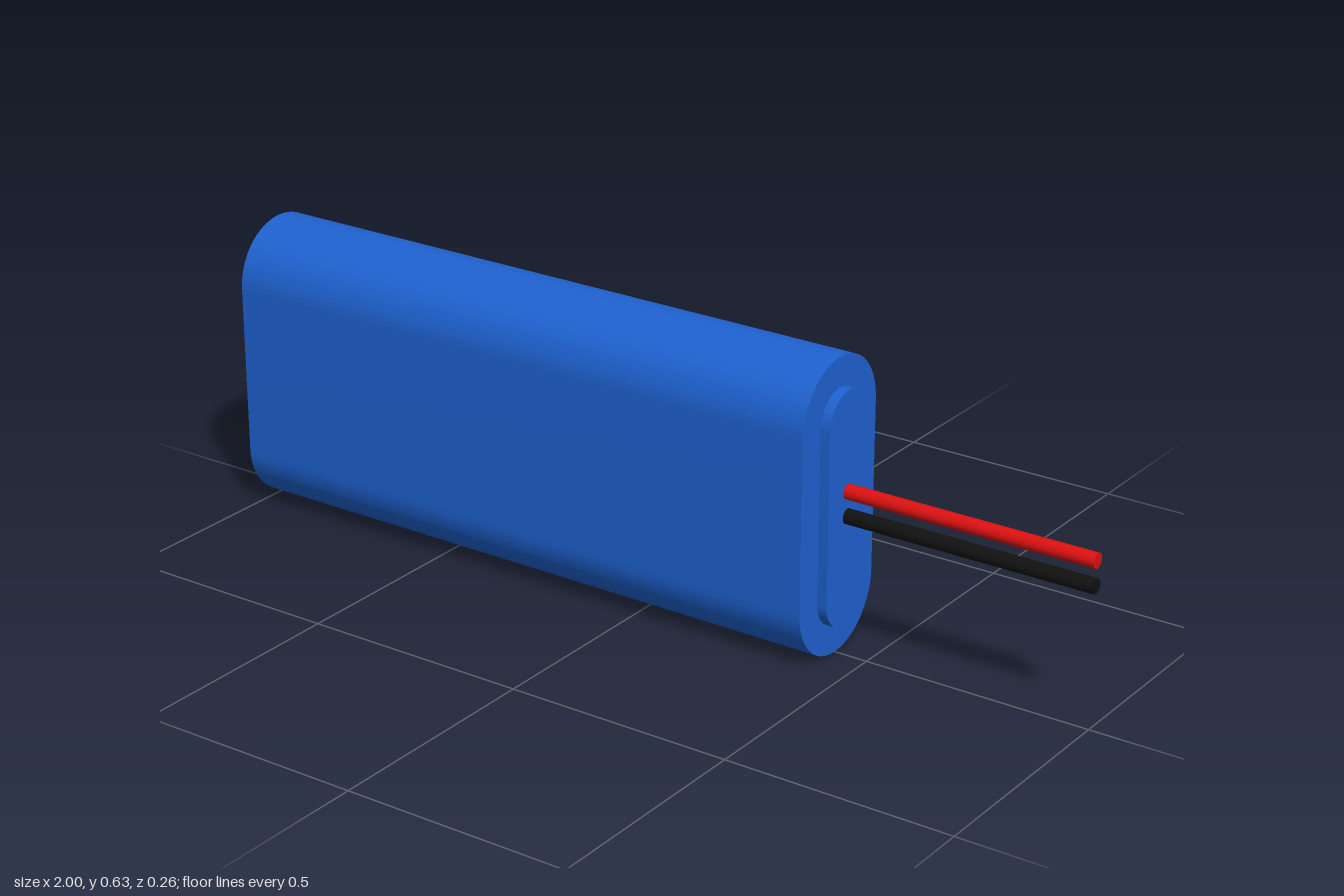
import * as THREE from 'three';
import { toCreasedNormals } from 'three/addons/utils/BufferGeometryUtils.js';

const blue = new THREE.MeshStandardMaterial({ color: 0x1e62d0 });
const red = new THREE.MeshStandardMaterial({ color: 0xdd1111 });
const black = new THREE.MeshStandardMaterial({ color: 0x111111 });

const MID_Y = 0.3175;

// Upright stadium section swept along x from x0 to x1
function stadiumBar(name, height, radius, x0, x1) {
  const h = height / 2 - radius;
  const shape = new THREE.Shape();
  shape.absarc(0, h, radius, 0, Math.PI);
  shape.absarc(0, -h, radius, Math.PI, Math.PI * 2);
  shape.closePath();
  const geo = new THREE.ExtrudeGeometry(shape, { depth: x1 - x0, bevelEnabled: false, curveSegments: 32 });
  geo.rotateY(Math.PI / 2);
  const mesh = new THREE.Mesh(toCreasedNormals(geo, 0.6), blue);
  mesh.name = name;
  mesh.position.set(x0, MID_Y, 0);
  return mesh;
}

// Straight round lead along x
function wire(name, y, material) {
  const x0 = 0.44, x1 = 1;
  const geo = new THREE.CylinderGeometry(0.016, 0.016, x1 - x0, 32);
  geo.rotateZ(-Math.PI / 2);
  const mesh = new THREE.Mesh(geo, material);
  mesh.name = name;
  mesh.position.set((x0 + x1) / 2, y, 0);
  return mesh;
}

export function createModel() {
  const group = new THREE.Group();
  group.name = 'batteryPack';
  group.add(
    stadiumBar('body', 0.635, 0.132, -1, 0.425),
    stadiumBar('endCap', 0.507, 0.069, 0.42, 0.447),
    wire('redWire', 0.356, red),
    wire('blackWire', 0.303, black)
  );
  return group;
}
